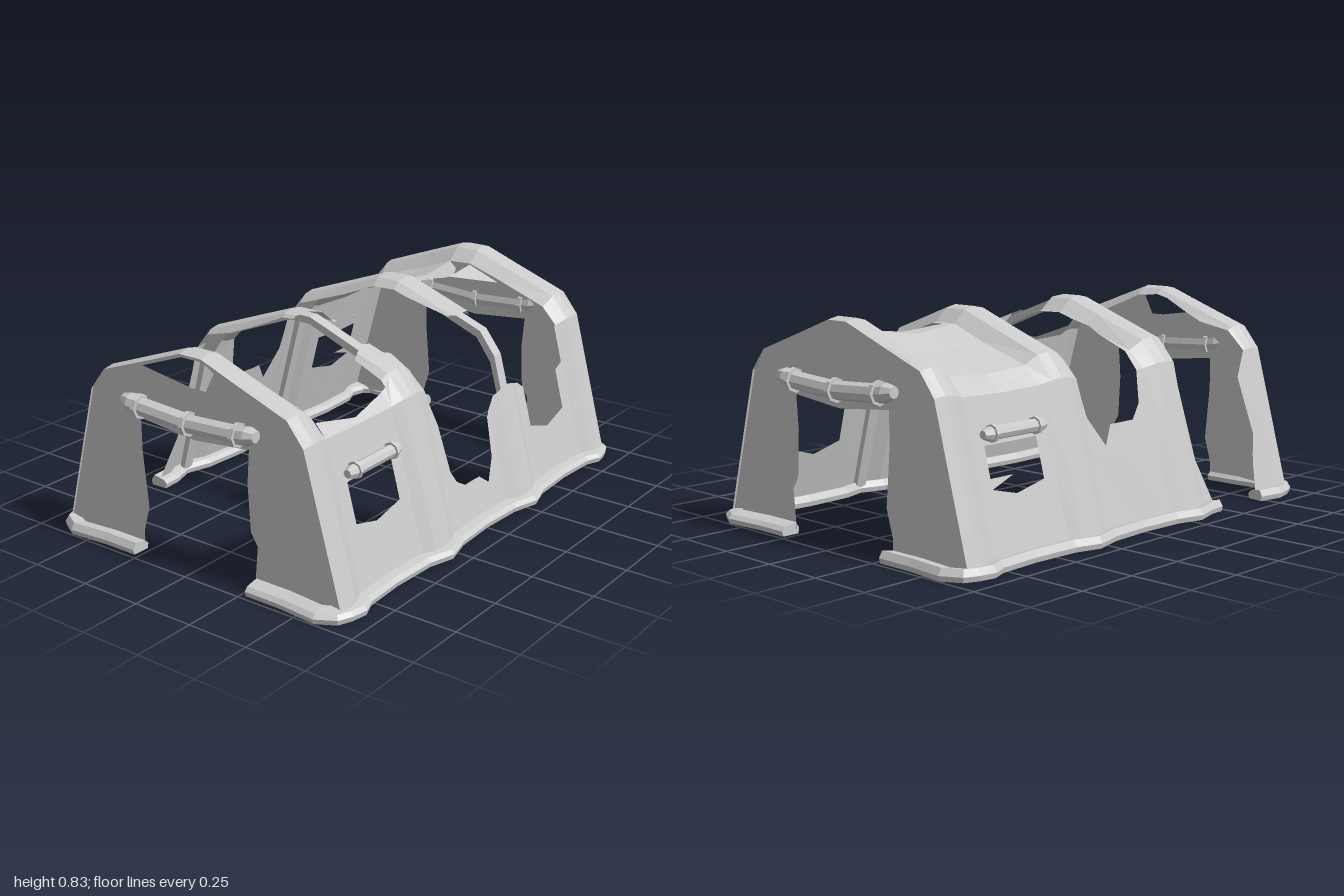
import * as THREE from 'three';

const mat = new THREE.MeshStandardMaterial({ color: 0xcccccc, flatShading: true, side: THREE.DoubleSide });

// Linear lookup in a table of [key, value...] rows with rising keys
function lookup(table, k, col) {
  let i = 1;
  while (i < table.length - 1 && k > table[i][0]) i++;
  const a = table[i - 1], b = table[i];
  const f = THREE.MathUtils.clamp((k - a[0]) / (b[0] - a[0]), 0, 1);
  return a[col] + (b[col] - a[col]) * f;
}

// Half section of the tent: t, x, y, roof sag factor, sideways inset factor
// (t is x on the roof and 1.1 - y on the walls)
const PROFILE = [
  [0, 0, 0.83, 1, 0], [0.05, 0.05, 0.83, 1, 0], [0.2, 0.2, 0.775, 1, 0.1],
  [0.43, 0.43, 0.69, 0.7, 0.3], [0.5, 0.5, 0.6, 0.3, 0.35], [1.1, 0.66, 0.02, 0, 0.5],
];
// Cloth sag between the arches, by |z|
const SAG = [[0, 0.08], [0.19, 0.06], [0.25, 0.01], [0.3, 0], [0.35, 0.01], [0.4, 0.06],
  [0.6, 0.08], [0.78, 0.06], [0.84, 0.01], [0.88, 0], [0.93, 0.01]];

function tentPoint(z, t) {
  const a = Math.abs(t), d = lookup(SAG, Math.abs(z), 1);
  const x = lookup(PROFILE, a, 1) - d * lookup(PROFILE, a, 4);
  const y = lookup(PROFILE, a, 2) - d * lookup(PROFILE, a, 3);
  return new THREE.Vector3(Math.sign(t) * x, y, z);
}

// Keep the part of a 2D polygon where sign * (p[axis] - limit) >= 0
function clip(poly, axis, limit, sign) {
  const out = [];
  poly.forEach((p, i) => {
    const q = poly[(i + 1) % poly.length];
    const dp = sign * (p[axis] - limit), dq = sign * (q[axis] - limit);
    if (dp >= 0) out.push(p);
    if ((dp > 0 && dq < 0) || (dp < 0 && dq > 0)) {
      const f = dp / (dp - dq);
      out.push([p[0] + (q[0] - p[0]) * f, p[1] + (q[1] - p[1]) * f]);
    }
  });
  return out;
}

function meshOf(geometry, name) {
  const m = new THREE.Mesh(geometry, mat);
  m.name = name;
  return m;
}

function fromTriangles(pos, name) {
  const g = new THREE.BufferGeometry();
  g.setAttribute('position', new THREE.Float32BufferAttribute(pos, 3));
  g.computeVertexNormals();
  return meshOf(g, name);
}

// Torn cloth: an outline in (z, t), cut along the fold lines and wrapped on the tent section
function cloth(outline, name) {
  const zs = SAG.map(r => r[0]), ts = [0, 0.05, 0.2, 0.43, 0.5, 0.8, 1.1];
  const both = a => [...a.slice(1).map(v => -v).reverse(), ...a];
  const Z = both(zs), T = both(ts), pos = [];
  for (let i = 0; i < Z.length - 1; i++) {
    const strip = clip(clip(outline, 0, Z[i], 1), 0, Z[i + 1], -1);
    for (let j = 0; j < T.length - 1; j++) {
      const cell = clip(clip(strip, 1, T[j], 1), 1, T[j + 1], -1);
      if (cell.length < 3) continue;
      const pts = cell.map(p => new THREE.Vector2(p[0], p[1]));
      for (const f of THREE.ShapeUtils.triangulateShape(pts, [])) {
        const [a, b, c] = f.map(k => pts[k]);
        if (Math.abs((b.x - a.x) * (c.y - a.y) - (c.x - a.x) * (b.y - a.y)) < 1e-7) continue;
        for (const p of [a, b, c]) pos.push(...tentPoint(p.x, p.y).toArray());
      }
    }
  }
  return fromTriangles(pos, name);
}

// Skin a row of equal rings of points, closing both ends
function loft(rings, name) {
  const pos = [], tri = (...v) => v.forEach(p => pos.push(p.x, p.y, p.z));
  const n = rings[0].length;
  for (let i = 0; i < rings.length - 1; i++) {
    for (let k = 0; k < n; k++) {
      const l = (k + 1) % n, A = rings[i], B = rings[i + 1];
      tri(A[k], A[l], B[l]);
      tri(A[k], B[l], B[k]);
    }
  }
  const last = rings[rings.length - 1];
  for (let k = 1; k < n - 1; k++) {
    tri(rings[0][0], rings[0][k + 1], rings[0][k]);
    tri(last[0], last[k], last[k + 1]);
  }
  return fromTriangles(pos, name);
}

// Ground skirt along a path of [x, z]
function skirt(path, name) {
  const section = [[-0.035, 0], [0.035, 0], [0.04, 0.02], [0.025, 0.035], [-0.025, 0.045], [-0.04, 0.02]];
  return loft(path.map((p, i) => {
    const a = path[Math.max(i - 1, 0)], b = path[Math.min(i + 1, path.length - 1)];
    const len = Math.hypot(b[0] - a[0], b[1] - a[1]);
    const nx = -(b[1] - a[1]) / len, nz = (b[0] - a[0]) / len;
    return section.map(([o, y]) => new THREE.Vector3(p[0] + nx * o, y, p[1] + nz * o));
  }), name);
}

// Rolled-up flap with tied straps, lying along x
function roll(length, r, straps, name) {
  const h = length / 2, pts = [[0, -h], [r * 0.6, -h], [r, -h + r]];
  for (const s of straps) {
    const c = s * h, w = r * 0.25;
    pts.push([r * 0.95, c - w], [r * 1.25, c - w], [r * 1.25, c + w], [r * 0.95, c + w]);
  }
  pts.push([r, h - r], [r * 0.6, h], [0, h]);
  const g = new THREE.LatheGeometry(pts.map(p => new THREE.Vector2(...p)), 8);
  g.rotateZ(-Math.PI / 2);
  return meshOf(g, name);
}

// End wall with a ragged doorway
function gable(z, tear, name) {
  const outer = [1.1, 0.5, 0.43, 0.2, 0.05, -0.05, -0.2, -0.43, -0.5, -1.1].map(t => tentPoint(z, t));
  const door = [[-0.27, 0.02], [-0.27, 0.08], [-0.24, 0.18], [-0.26, 0.4], [-0.26, 0.53], [0, 0.505],
    [0.25, 0.53], [0.24, 0.4], [0.25, 0.22], [0.28, 0.17], [0.265, 0.02]];
  const shape = new THREE.Shape([...outer.map(p => new THREE.Vector2(p.x, p.y)),
    ...door.map(p => new THREE.Vector2(...p))]);
  if (tear) shape.holes.push(new THREE.Path(tear.map(p => new THREE.Vector2(...p))));
  const g = new THREE.ShapeGeometry(shape);
  g.translate(0, 0, z);
  return meshOf(g, name);
}

export function createModel() {
  const model = new THREE.Group();

  // Front arch with the torn right corner post
  model.add(cloth([[0.93, -1.1], [0.75, -1.1], [0.77, -0.98], [0.8, -0.85], [0.78, -0.6], [0.83, -0.5],
    [0.8, -0.3], [0.82, -0.1], [0.8, 0.1], [0.79, 0.45], [0.79, 0.5], [0.93, 0.5]], 'frontArch'));

  // Left wall: window, middle arch stub, low torn middle, window torn open to the roof
  model.add(cloth([[0.93, 1.1], [0.93, 0.5], [0.79, 0.5], [0.78, 0.45], [0.58, 0.48], [0.38, 0.45],
    [0.37, 0.3], [0.3, 0.27], [0.2, 0.28], [0.15, 0.31], [0.2, 0.45], [0.18, 0.55], [0.15, 0.65],
    [0.13, 0.85], [0.1, 0.9], [0.05, 0.93], [-0.05, 0.93], [-0.1, 0.97], [-0.15, 0.88], [-0.17, 0.72],
    [-0.22, 0.65], [-0.3, 0.63], [-0.42, 0.65], [-0.46, 0.68], [-0.46, 0.85], [-0.59, 0.89], [-0.72, 0.85],
    [-0.72, 0.68], [-0.77, 0.66], [-0.77, 0.5], [-0.93, 0.5], [-0.93, 1.1], [0.6, 1.1], [0.6, 0.87],
    [0.46, 0.84], [0.46, 0.68], [0.72, 0.68], [0.72, 0.84], [0.6, 0.87], [0.6, 1.1]], 'leftWall'));

  // Back arch, rear roof and right wall with its window
  model.add(cloth([[-0.93, 0.5], [-0.78, 0.5], [-0.79, 0.2], [-0.78, -0.05], [-0.72, 0.02], [-0.64, 0.06],
    [-0.58, 0.02], [-0.42, 0], [-0.43, 0.2], [-0.39, 0.31], [-0.28, 0.33], [-0.24, 0.3], [-0.22, 0.1],
    [-0.2, -0.5], [-0.18, -0.65], [-0.1, -0.77], [-0.05, -0.69], [0.08, -0.69], [0.13, -0.63],
    [0.16, -0.45], [0.2, -0.2], [0.17, 0.06], [0.26, 0.05], [0.36, 0], [0.38, -0.3], [0.36, -0.6],
    [0.4, -0.9], [0.47, -1.1], [-0.6, -1.1], [-0.6, -0.87], [-0.46, -0.84], [-0.46, -0.68],
    [-0.72, -0.68], [-0.72, -0.84], [-0.6, -0.87], [-0.6, -1.1], [-0.93, -1.1]], 'roofAndRightWall'));

  // End walls, the front one torn under the ridge
  model.add(gable(0.92, [[-0.24, 0.735], [0, 0.7], [0.06, 0.7], [0.1, 0.775], [0.05, 0.805], [-0.05, 0.805]],
    'frontGable'));
  model.add(gable(-0.92, null, 'backGable'));

  // Bent poles under the middle arches
  for (const z of [0.3, -0.3]) {
    const ts = [-1.1, -0.5, -0.43, -0.05, 0.05, 0.43, 0.5, 1.1];
    model.add(loft(ts.map(t => {
      const p = tentPoint(z, t), ring = [];
      for (const [s, w] of [[0.985, -1], [0.985, 1], [0.95, 1], [0.95, -1]]) {
        ring.push(new THREE.Vector3(p.x * s, Math.max(p.y - (1 - s) * 0.8, 0.01), z + w * 0.024));
      }
      return ring;
    }), 'archPole'));
  }

  // Ground skirts
  const side = (sx, from, to) => [0.84, 0.78, 0.6, 0.47, 0.4, 0.3, 0.19, 0, -0.19, -0.3, -0.4, -0.6, -0.78, -0.84]
    .filter(z => z <= from && z >= to).map(z => [sx * tentPoint(z, 1.1).x, z]);
  const corner = (sx, sz) => [[0.27, 0.945], [0.42, 0.945], [0.58, 0.96], [0.63, 0.93], [0.645, 0.89]]
    .map(([x, z]) => [sx * x, sz * z]);
  model.add(skirt([...corner(1, 1), ...side(1, 1, -1), ...corner(1, -1).reverse()], 'leftSkirt'));
  model.add(skirt([...side(-1, 0.47, -1), ...corner(-1, -1).reverse()], 'rightSkirt'));
  model.add(skirt([...corner(-1, 1), [-0.66, 0.83], [-0.64, 0.73]], 'frontCornerSkirt'));

  // Rolled door flaps on both ends, sagging slightly in the middle
  for (const s of [1, -1]) {
    const door = roll(0.62, 0.037, [-0.74, 0, 0.74], s > 0 ? 'frontDoorRoll' : 'backDoorRoll');
    const p = door.geometry.attributes.position;
    for (let i = 0; i < p.count; i++) p.setY(i, p.getY(i) + 0.25 * p.getX(i) ** 2 - 0.01);
    door.geometry.computeVertexNormals();
    door.position.set(-0.005, 0.585, s * 0.945);
    model.add(door);

    // Rolled window flap
    const flap = roll(0.31, 0.026, [-0.7, 0.7], s > 0 ? 'leftWindowRoll' : 'rightWindowRoll');
    flap.rotation.y = Math.PI / 2;
    flap.position.set(s * 0.54, 0.455, s * 0.59);
    model.add(flap);
  }
  return model;
}
